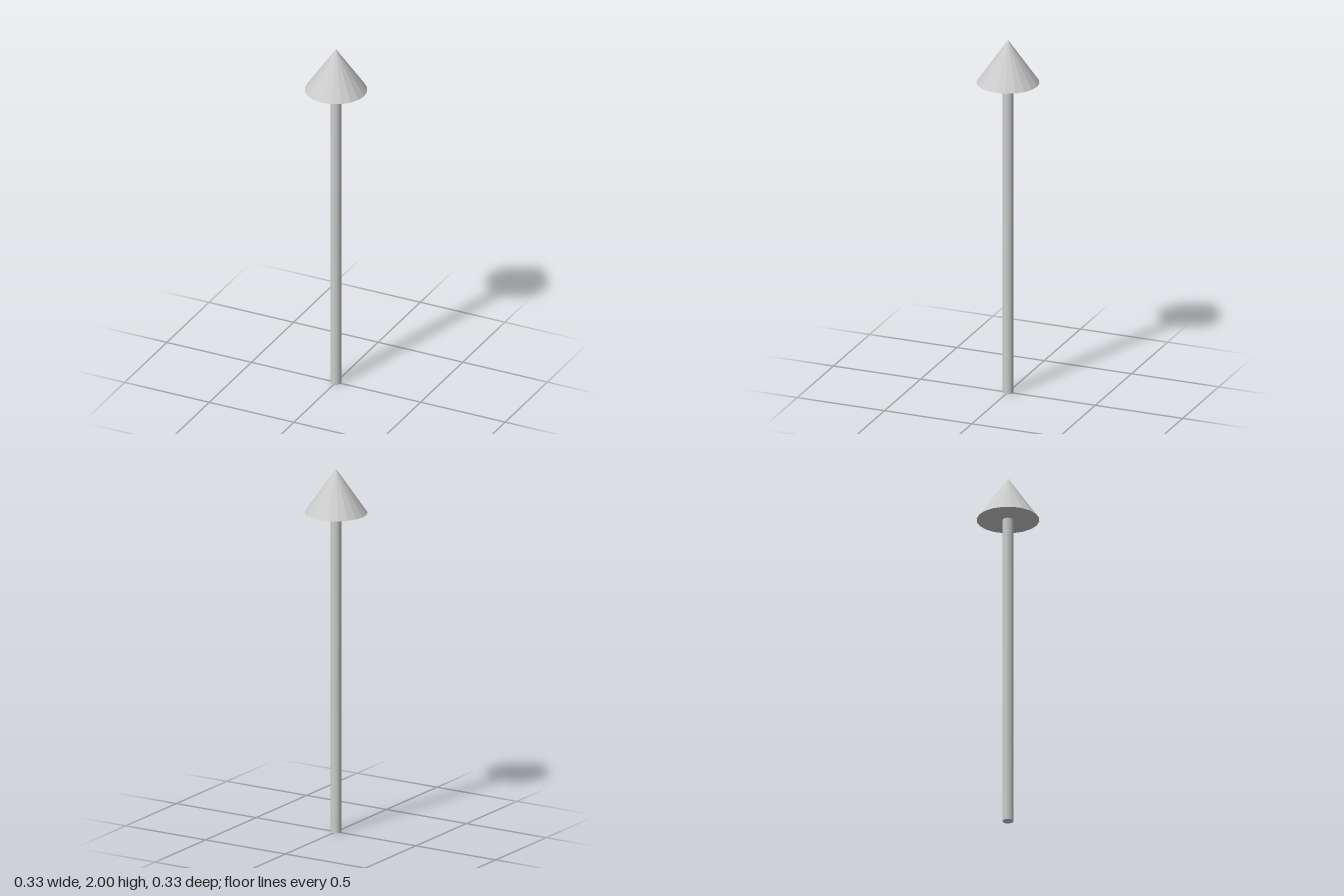
import * as THREE from 'three';

const SIDES = 20;
const SHAFT_RADIUS = 0.029;
const HEAD_RADIUS = 0.167;
const HEAD_BASE = 1.758;
const HEIGHT = 2;

export function createModel() {
  const group = new THREE.Group();
  group.name = 'arrow';
  const material = new THREE.MeshStandardMaterial({ color: 0xcccccc, flatShading: true });

  // Each part stands between two heights
  const addPart = (name, geometry, bottom, top) => {
    const mesh = new THREE.Mesh(geometry, material);
    mesh.name = name;
    mesh.position.y = (bottom + top) / 2;
    group.add(mesh);
  };

  // Long thin shaft
  addPart('shaft', new THREE.CylinderGeometry(SHAFT_RADIUS, SHAFT_RADIUS, HEAD_BASE, SIDES), 0, HEAD_BASE);

  // Pointed head with a closed flat underside
  addPart('head', new THREE.ConeGeometry(HEAD_RADIUS, HEIGHT - HEAD_BASE, SIDES), HEAD_BASE, HEIGHT);

  return group;
}
